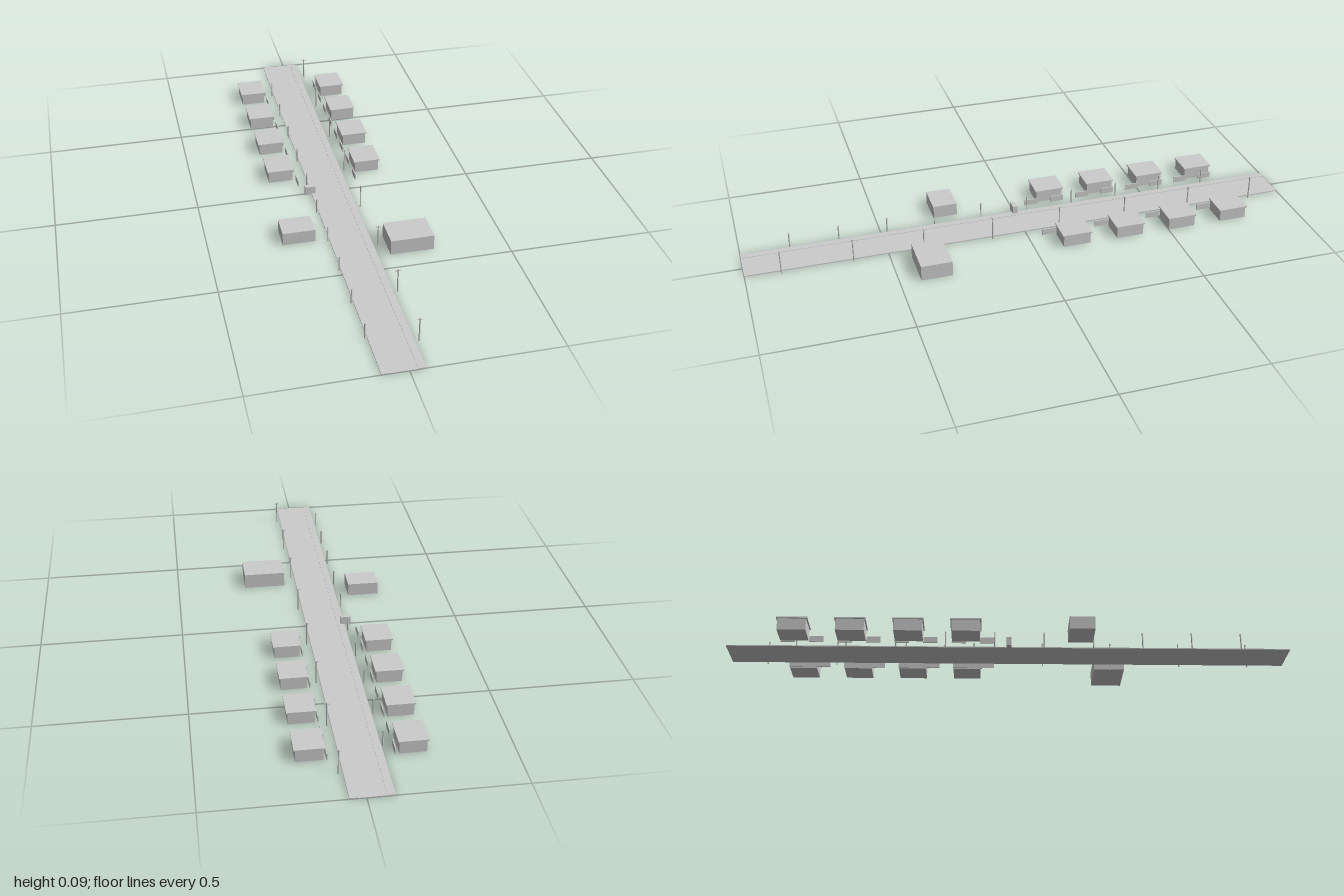
import * as THREE from 'three';

const grey = new THREE.MeshStandardMaterial({ color: 0xcccccc, flatShading: true });

export function createModel() {
  const street = new THREE.Group();
  street.name = 'street';

  // Box given by its x range, y range, z centre and z depth
  function box(name, x0, x1, y0, y1, z, depth, parent = street) {
    const mesh = new THREE.Mesh(new THREE.BoxGeometry(x1 - x0, y1 - y0, depth), grey);
    mesh.position.set((x0 + x1) / 2, (y0 + y1) / 2, z);
    mesh.name = name;
    parent.add(mesh);
    return mesh;
  }

  function pole(name, x, z, radius, height, parent = street) {
    const mesh = new THREE.Mesh(new THREE.CylinderGeometry(radius, radius, height, 8), grey);
    mesh.position.set(x, height / 2, z);
    mesh.name = name;
    parent.add(mesh);
  }

  // Road with slightly raised pavements along both edges
  box('road', -0.087, 0.052, 0, 0.0022, 0, 2);
  box('leftPavement', 0.027, 0.052, 0, 0.0036, 0, 2);
  box('rightPavement', -0.087, -0.062, 0, 0.0036, 0, 2);

  // Two rows of houses with overhanging flat roofs
  for (const x of [-0.1795, 0.145]) {
    for (let i = 0; i < 4; i++) {
      const house = new THREE.Group();
      house.name = 'house';
      house.position.set(x, 0, -0.7515 + i * 0.2);
      box('houseWalls', -0.044, 0.044, 0, 0.0425, 0, 0.099, house);
      box('houseRoof', -0.0485, 0.0485, 0.0425, 0.047, 0, 0.108, house);
      street.add(house);
    }
  }

  // Garden walls with gaps, in front of the houses
  for (const x of [-0.1235, 0.0905]) {
    for (let i = 0; i < 8; i++) {
      box('gardenWall', x - 0.0017, x + 0.0017, 0, 0.022, -0.777 + i * 0.1, 0.05);
    }
  }

  // Larger plain buildings
  box('rightShop', -0.248, -0.135, 0, 0.0465, 0.25, 0.088);
  box('leftHall', 0.0965, 0.2475, 0, 0.0545, 0.372, 0.11);

  // Roadside shelter
  box('shelter', -0.11, -0.073, 0, 0.032, 0, 0.017);

  // Street lamp posts on one side
  for (let i = 0; i < 10; i++) pole('lampPost', -0.0935, -0.75 + i * 0.175, 0.0026, 0.057);

  // Utility poles with cross arms on the other side
  for (let i = 0; i < 8; i++) {
    const z = -0.875 + i * 0.25;
    pole('utilityPole', 0.0655, z, 0.0024, 0.089);
    box('crossArm', 0.057, 0.074, 0.083, 0.0855, z, 0.0025);
  }

  return street;
}
